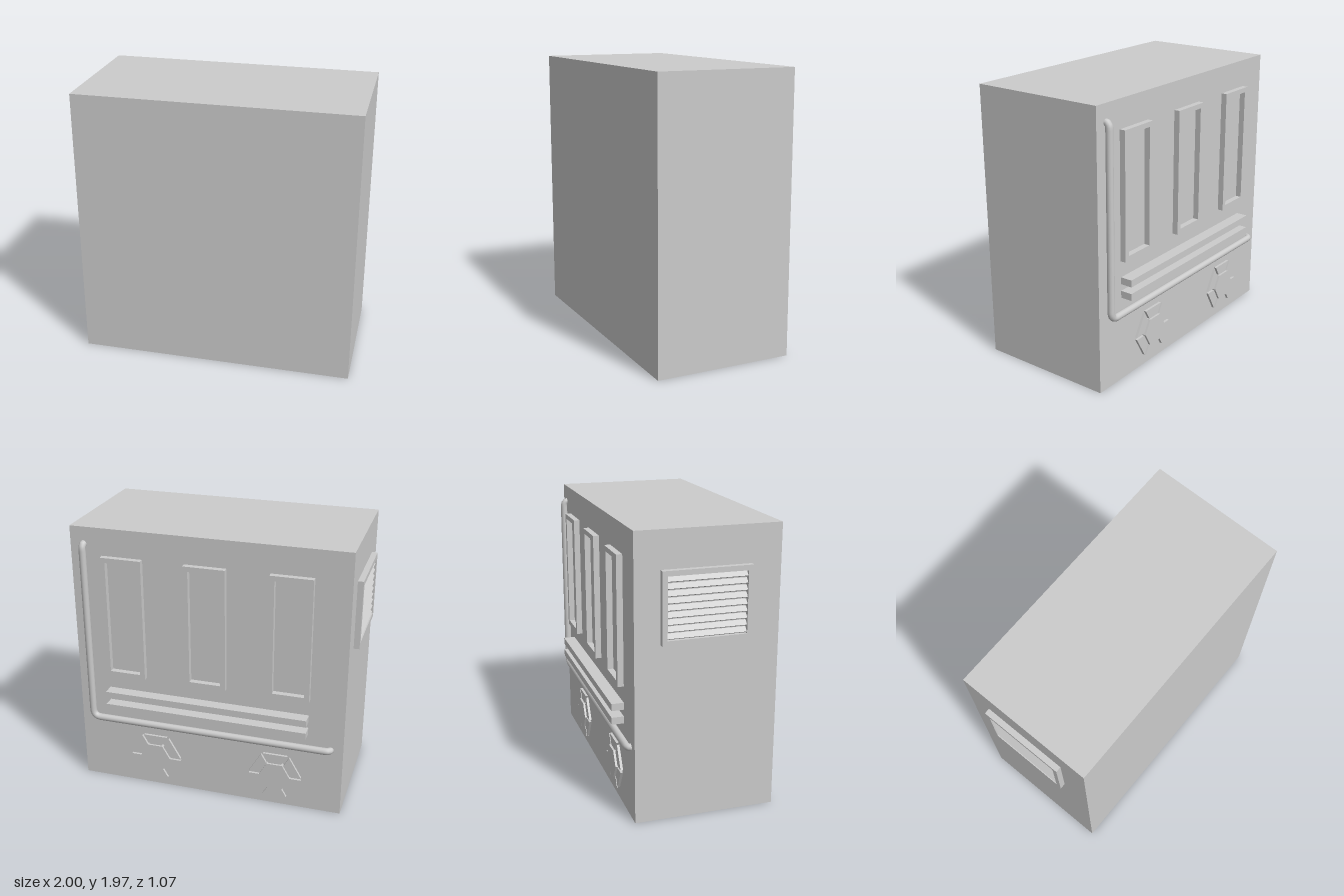
import * as THREE from 'three';

const BACK = -0.45; // z of the rear wall
const SIDE = -0.96; // x of the right wall

const material = new THREE.MeshStandardMaterial({ color: 0xcccccc, side: THREE.DoubleSide });
const V = (x, y, z) => new THREE.Vector3(x, y, z);

function add(parent, name, geometry, x = 0, y = 0, z = 0) {
  const mesh = new THREE.Mesh(geometry, material);
  mesh.name = name;
  mesh.position.set(x, y, z);
  parent.add(mesh);
  return mesh;
}

function polygon(points) {
  return new THREE.Shape(points.map(([x, y]) => new THREE.Vector2(x, y)));
}

const extrude = (shape, depth) => new THREE.ExtrudeGeometry(shape, { depth, bevelEnabled: false });

// Rectangular frame centred on the origin, standing off z = 0 toward -z
function frameGeometry(w, h, border, depth) {
  const rect = (a, b) => [[-a, -b], [a, -b], [a, b], [-a, b]];
  const shape = polygon(rect(w / 2, h / 2));
  shape.holes.push(polygon(rect(w / 2 - border, h / 2 - border).reverse()));
  return extrude(shape, depth).translate(0, 0, -depth);
}

// Box shell without a floor
function shellGeometry() {
  const box = new THREE.BoxGeometry(1.96, 1.965, 0.98);
  const index = Array.from(box.index.array);
  index.splice(18, 6);
  box.setIndex(index);
  box.clearGroups();
  return box;
}

// Pipe running down one edge and along the wall, both ends bent into the wall
function pipeGeometry() {
  const x = 0.905, y = 0.512, z = BACK - 0.024, top = 1.845, end = -0.87, r = 0.06;
  const path = new THREE.CurvePath();
  const bend = (a, b, c) => path.add(new THREE.QuadraticBezierCurve3(a, b, c));
  const line = (a, b) => path.add(new THREE.LineCurve3(a, b));
  bend(V(x, top, BACK + 0.005), V(x, top, z), V(x, top - 0.04, z));
  line(V(x, top - 0.04, z), V(x, y + r, z));
  bend(V(x, y + r, z), V(x, y, z), V(x - r, y, z));
  line(V(x - r, y, z), V(end + 0.04, y, z));
  bend(V(end + 0.04, y, z), V(end, y, z), V(end, y, BACK + 0.005));
  return new THREE.TubeGeometry(path, 200, 0.025, 12, false);
}

// Hexagonal hatch: raised hub ringed by six separate wedge plates
function hatch() {
  const group = new THREE.Group();
  group.name = 'hexHatch';
  const inner = 0.098, outer = 0.17, gap = 0.01, t = Math.tan(Math.PI / 6);
  const wedge = polygon([
    [-inner * t + gap, inner], [inner * t - gap, inner],
    [outer * t - gap, outer], [-outer * t + gap, outer],
  ]);
  const plate = extrude(wedge, 0.018).translate(0, 0, -0.018);
  for (let i = 0; i < 6; i++) add(group, 'hatchWedge', plate).rotation.z = i * Math.PI / 3;
  const hex = [];
  for (let i = 0; i < 6; i++) {
    const a = i * Math.PI / 3, radius = inner / Math.cos(Math.PI / 6);
    hex.push([radius * Math.cos(a), radius * Math.sin(a)]);
  }
  add(group, 'hatchHub', extrude(polygon(hex), 0.033).translate(0, 0, -0.033));
  return group;
}

// Louvred vent, built facing -z
function vent() {
  const group = new THREE.Group();
  group.name = 'sideVent';
  const w = 0.605, h = 0.485, border = 0.035, slats = 9;
  add(group, 'ventFrame', frameGeometry(w, h, border, 0.04));
  const slat = new THREE.BoxGeometry(w - 2 * border, 0.008, 0.04);
  const step = (h - 2 * border) / slats;
  for (let i = 0; i < slats; i++) {
    add(group, 'ventSlat', slat, 0, (i - (slats - 1) / 2) * step, -0.018).rotation.x = -Math.PI / 4;
  }
  return group;
}

export function createModel() {
  const model = new THREE.Group();
  model.name = 'cabinet';

  add(model, 'body', shellGeometry(), 0.02, 0.9825, 0.04);

  // Three tall panel frames on the rear wall
  const frame = frameGeometry(0.295, 0.89, 0.035, 0.042);
  for (const x of [-0.565, 0.03, 0.625]) add(model, 'panelFrame', frame, x, 1.325, BACK);

  // Two horizontal rails below the frames
  const rail = new THREE.BoxGeometry(1.475, 0.05, 0.085);
  for (const y of [0.64, 0.738]) add(model, 'rail', rail, 0.03, y, BACK - 0.0425);

  add(model, 'pipe', pipeGeometry());

  for (const x of [0.425, -0.48]) {
    const h = hatch();
    h.position.set(x, 0.243, BACK);
    model.add(h);
  }

  const sideVent = vent();
  sideVent.rotation.y = Math.PI / 2;
  sideVent.position.set(SIDE, 1.47, 0.025);
  model.add(sideVent);

  return model;
}
